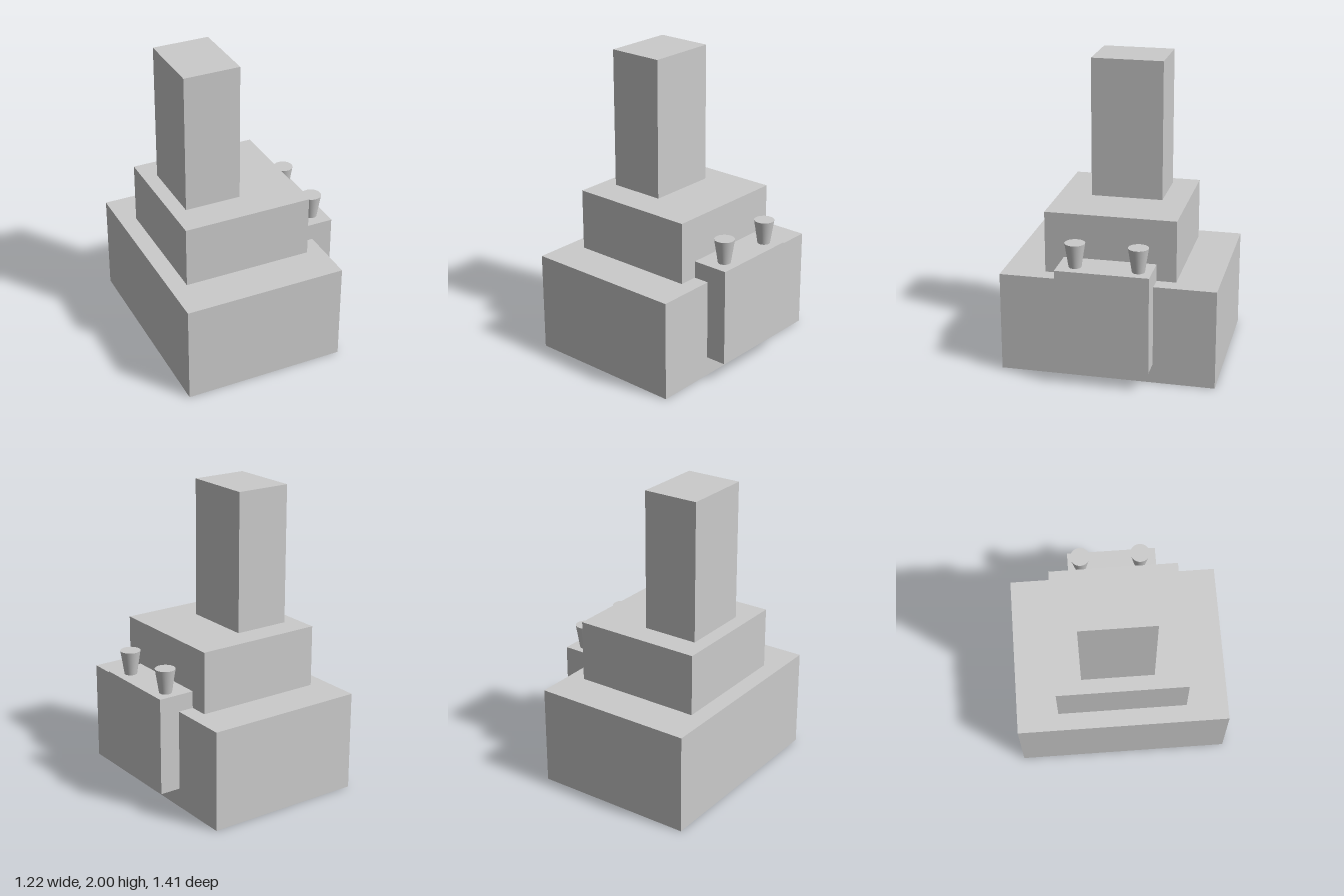
import * as THREE from 'three';

const material = new THREE.MeshStandardMaterial({ color: 0xcccccc });

// Box given by its [min, max] extent on each axis
function block(name, [x0, x1], [y0, y1], [z0, z1]) {
  const mesh = new THREE.Mesh(new THREE.BoxGeometry(x1 - x0, y1 - y0, z1 - z0), material);
  mesh.name = name;
  mesh.position.set((x0 + x1) / 2, (y0 + y1) / 2, (z0 + z1) / 2);
  return mesh;
}

export function createModel() {
  const model = new THREE.Group();
  model.name = 'steppedTower';

  // Stacked tiers and the tall column
  model.add(
    block('base', [-0.612, 0.47], [0, 0.665], [-0.71, 0.705]),
    block('middleTier', [-0.497, 0.364], [0.665, 1.075], [-0.433, 0.428]),
    block('column', [-0.4, -0.024], [1.075, 2], [-0.264, 0.21]),
  );

  // Block set into the left side
  model.add(block('sideBlock', [0.364, 0.61], [0.13, 0.778], [-0.305, 0.302]));

  // Pair of flared pots on the side block
  const potGeometry = new THREE.CylinderGeometry(0.066, 0.041, 0.16, 32);
  for (const [name, z] of [['frontPot', 0.19], ['rearPot', -0.218]]) {
    const pot = new THREE.Mesh(potGeometry, material);
    pot.name = name;
    pot.position.set(0.512, 0.858, z);
    model.add(pot);
  }

  return model;
}
